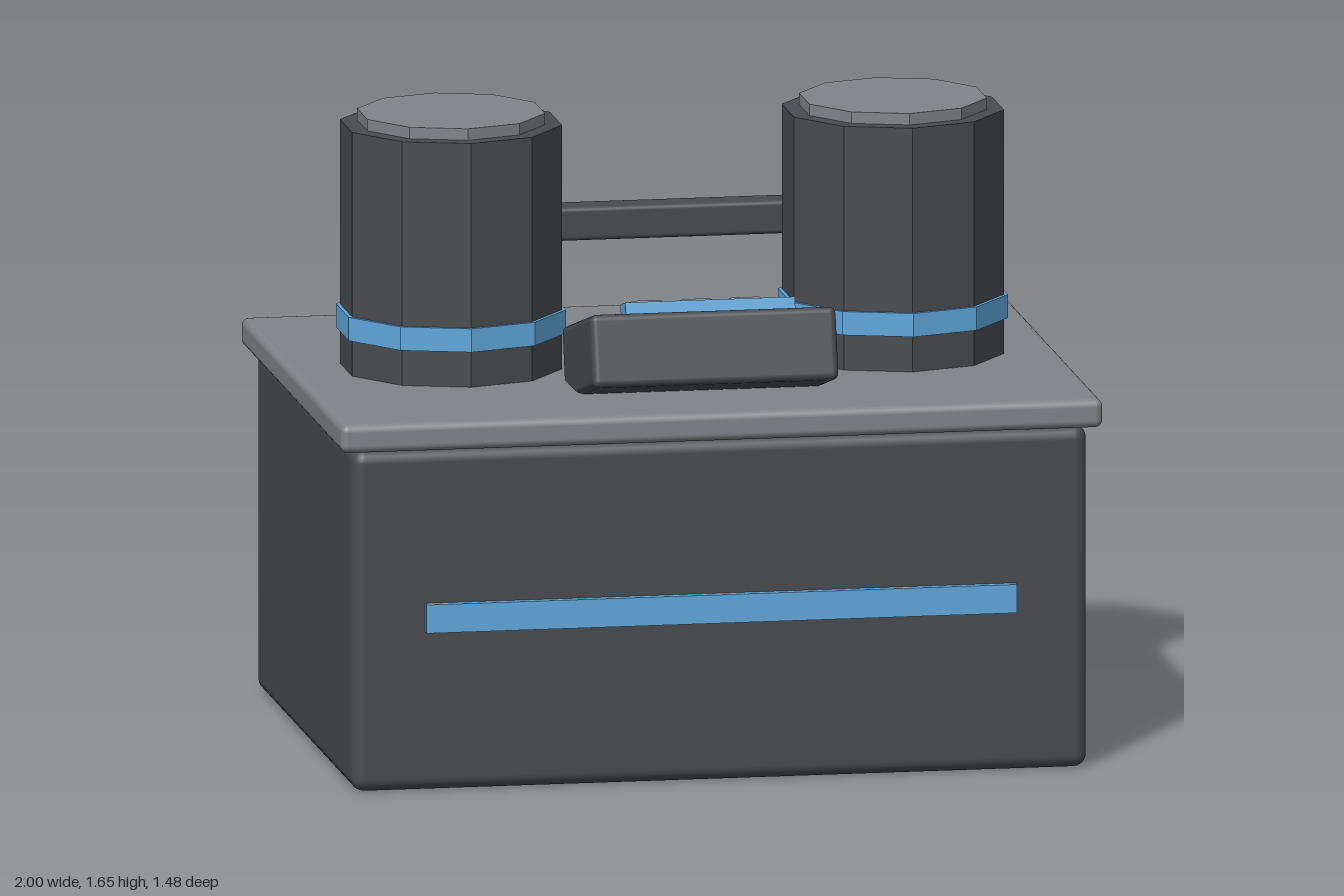
import * as THREE from 'three';
import { RoundedBoxGeometry } from 'three/addons/geometries/RoundedBoxGeometry.js';

const mat = (name, color, flatShading = false) => {
  const m = new THREE.MeshStandardMaterial({ color, flatShading });
  m.name = name;
  return m;
};

export function createModel() {
  const model = new THREE.Group();
  model.name = 'machine';
  const charcoal = mat('charcoal', 0x484b50);
  const grey = mat('grey', 0x808388);
  const blue = mat('blue', 0x5fa8dc);

  const add = (parent, name, geometry, material, x, y, z) => {
    const mesh = new THREE.Mesh(geometry, material);
    mesh.name = name;
    mesh.position.set(x, y, z);
    parent.add(mesh);
    return mesh;
  };
  const rounded = (w, h, d, r) => new RoundedBoxGeometry(w, h, d, 3, r);
  // Ten-sided prism with flat facets and a corner pointing forward
  const prism = (r, h) => {
    const g = new THREE.CylinderGeometry(r, r, h, 10).toNonIndexed();
    g.computeVertexNormals();
    return g;
  };

  // Housing, overhanging lid and front light strip
  add(model, 'body', rounded(1.93, 0.9, 1.42, 0.035), charcoal, 0, 0.45, 0);
  add(model, 'lid', rounded(2, 0.075, 1.48, 0.02), grey, 0, 0.9375, 0);
  add(model, 'frontStrip', new THREE.BoxGeometry(1.55, 0.075, 0.04), blue, 0, 0.457, 0.712);

  // Pair of canisters, each with a band and a cap
  for (const side of [-1, 1]) {
    const canister = new THREE.Group();
    canister.name = side > 0 ? 'leftCanister' : 'rightCanister';
    canister.position.set(side * 0.58, 0, 0);
    add(canister, 'canisterBody', prism(0.29, 0.66), charcoal, 0, 1.287, 0);
    add(canister, 'canisterBand', prism(0.3, 0.062), blue, 0, 1.1, 0);
    add(canister, 'canisterCap', prism(0.245, 0.05), grey, 0, 1.622, 0);
    model.add(canister);
  }

  // Tilted control console with a display and three buttons
  const panel = new THREE.Group();
  panel.name = 'controlPanel';
  panel.position.set(0, 1.07, 0.4175);
  panel.rotation.x = -THREE.MathUtils.degToRad(15);
  add(panel, 'panelBody', rounded(0.645, 0.19, 0.445, 0.018), charcoal, 0, 0, 0);
  add(panel, 'display', new THREE.BoxGeometry(0.445, 0.04, 0.075), blue, 0, 0.106, 0.142);
  for (const x of [-0.13, 0, 0.13])
    add(panel, 'button', rounded(0.087, 0.06, 0.088, 0.01), grey, x, 0.113, -0.067);
  model.add(panel);

  // Rear carrying handle
  const handle = new THREE.Group();
  handle.name = 'handle';
  add(handle, 'handleBar', rounded(1.035, 0.088, 0.088, 0.012), charcoal, 0, 1.228, -0.582);
  for (const x of [-0.46, 0.46])
    add(handle, 'handlePost', new THREE.BoxGeometry(0.085, 0.25, 0.085), charcoal, x, 1.085, -0.582);
  model.add(handle);

  return model;
}
